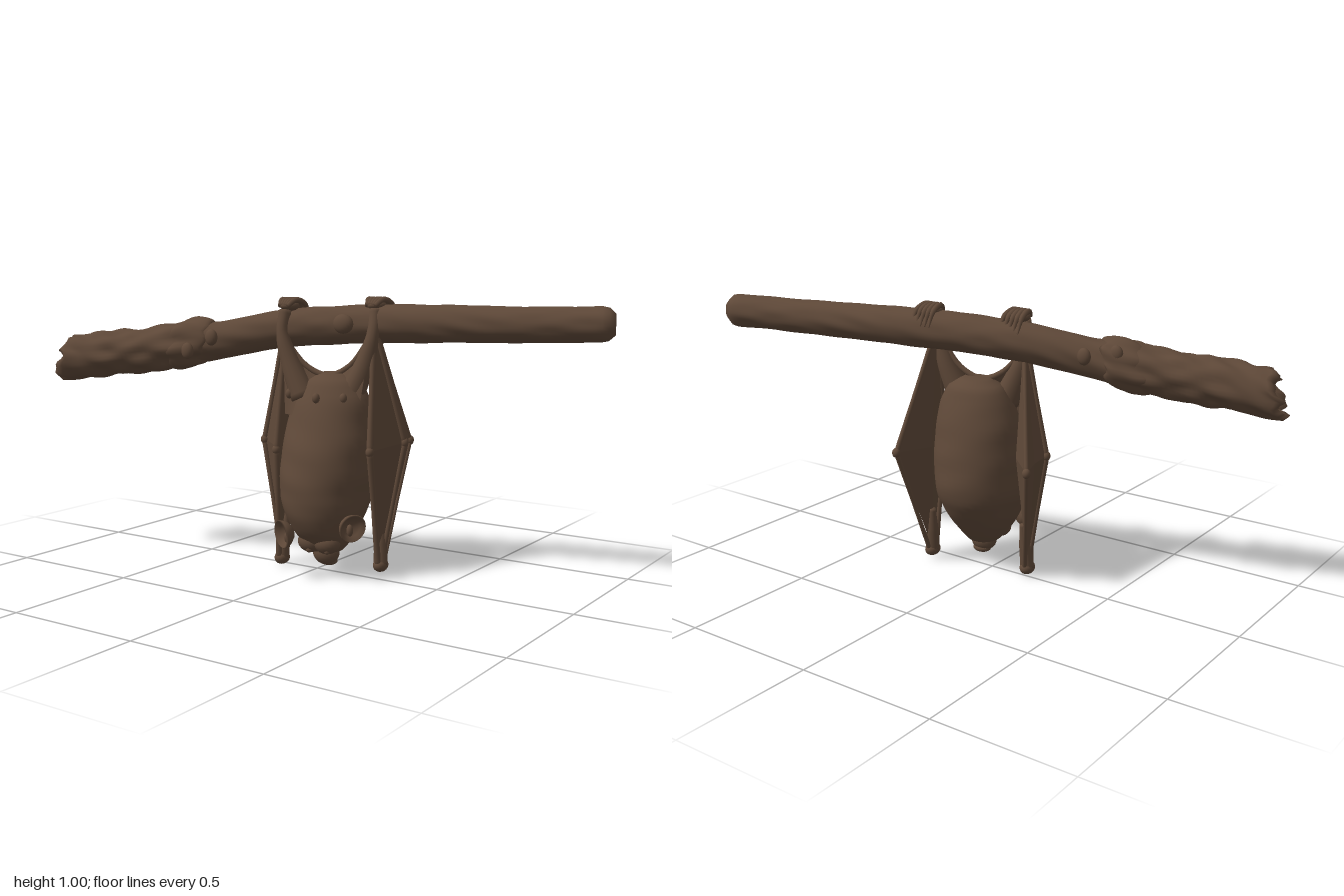
import * as THREE from 'three';

const V = (x, y, z) => new THREE.Vector3(x, y, z);

// Smooth skin over rings of equal length, closed at both ends
function loft(rings) {
  const n = rings[0].length, pos = [], idx = [];
  rings.forEach(r => r.forEach(p => pos.push(p.x, p.y, p.z)));
  for (let i = 0; i < rings.length - 1; i++)
    for (let j = 0; j < n; j++) {
      const a = i * n + j, b = i * n + (j + 1) % n;
      idx.push(a, a + n, b, b, a + n, b + n);
    }
  [0, rings.length - 1].forEach(k => {
    const c = rings[k].reduce((s, p) => s.add(p), V(0, 0, 0)).divideScalar(n), ci = pos.length / 3;
    pos.push(c.x, c.y, c.z);
    for (let j = 0; j < n; j++) {
      const a = k * n + j, b = k * n + (j + 1) % n;
      if (k) idx.push(a, ci, b); else idx.push(a, b, ci);
    }
  });
  const g = new THREE.BufferGeometry();
  g.setAttribute('position', new THREE.Float32BufferAttribute(pos, 3));
  g.setIndex(idx);
  g.computeVertexNormals();
  return g;
}

// Round limb through points, with a radius at each point
function limb(pts, radii, steps = 20, sides = 12) {
  const c = new THREE.CatmullRomCurve3(pts), f = c.computeFrenetFrames(steps);
  const rings = [];
  for (let i = 0; i <= steps; i++) {
    const t = i / steps, k = t * (radii.length - 1), a = Math.min(Math.floor(k), radii.length - 2);
    const r = THREE.MathUtils.lerp(radii[a], radii[a + 1], k - a), p = c.getPoint(t);
    rings.push(Array.from({ length: sides }, (_, j) => {
      const w = j / sides * Math.PI * 2;
      return p.clone().addScaledVector(f.normals[i], r * Math.cos(w)).addScaledVector(f.binormals[i], r * Math.sin(w));
    }));
  }
  return loft(rings);
}

// Layered waves that give bark its roughness
const rough = (s, w) => 0.5 * Math.sin(s * 31 + 3 * Math.sin(w * 2)) * Math.sin(w * 3 + s * 7)
  + 0.3 * Math.sin(w * 7 + 4 * Math.sin(s * 17)) + 0.3 * Math.sin(s * 83 + w * 5);

export function createModel() {
  const model = new THREE.Group();
  const brown = new THREE.MeshStandardMaterial({ color: 0x5e4838, side: THREE.DoubleSide });
  const add = (name, geo, parent = model) => {
    const m = new THREE.Mesh(geo, brown);
    m.name = name;
    parent.add(m);
    return m;
  };
  const ball = (name, p, s, parent) => {
    const m = add(name, new THREE.SphereGeometry(1, 20, 14), parent);
    m.position.copy(p);
    m.scale.set(...s);
    return m;
  };

  // Branch: smooth at one end, barky and broken at the other
  const path = new THREE.CatmullRomCurve3([V(-0.96, 0.755, 0.30), V(-0.7, 0.785, 0.215), V(-0.4, 0.83, 0.1),
    V(-0.1, 0.885, -0.02), V(0.25, 0.905, -0.125), V(0.6, 0.91, -0.215), V(0.985, 0.917, -0.325)]);
  const across = V(0.34, 0, 0.94), along = V(0.93, 0.1, -0.34);
  const branchRing = (t, r, bump, jag = 0) => Array.from({ length: 40 }, (_, j) => {
    const w = j / 40 * Math.PI * 2, q = r + bump * rough(t, w);
    return path.getPoint(t).addScaledVector(across, q * Math.cos(w))
      .add(V(0, q * Math.sin(w), 0))
      .addScaledVector(along, jag * (0.7 * Math.sin(w) + 0.35 * Math.sin(w * 5 + 1) + 0.25 * Math.sin(w * 9)));
  });
  const rings = [branchRing(0.07, 0.03, 0.004), branchRing(0.02, 0.05, 0.008, 0.02), branchRing(0, 0.066, 0.01, 0.032)];
  for (let i = 1; i <= 110; i++) {
    const t = i / 110, old = 1 - THREE.MathUtils.smoothstep(t, 0.27, 0.36);
    const end = Math.min(1, Math.sqrt(Math.max(0, 1 - t) / 0.018 + 0.35));
    rings.push(branchRing(t, (0.069 + 0.014 * old - 0.009 * THREE.MathUtils.smoothstep(t, 0.6, 1)) * end,
      0.0025 + 0.008 * old, i < 8 ? 0.032 * (1 - i / 8) : 0));
  }
  add('branch', loft(rings));

  // Peeling bark collar
  const collar = [];
  for (let i = 0; i <= 16; i++) {
    const t = 0.25 + i / 16 * 0.08;
    collar.push(branchRing(t, 0.068 + 0.021 * Math.sin(i / 16 * Math.PI) ** 0.5, 0.013, 0.02));
  }
  add('barkCollar', loft(collar));
  [[-0.43, 0.8, 0.21], [-0.35, 0.85, 0.17], [-0.47, 0.87, 0.06], [-0.38, 0.86, 0.0]].forEach(p =>
    ball('barkFlake', V(...p), [0.025, 0.03, 0.018]));
  ball('branchKnot', V(0.1, 0.905, -0.015), [0.04, 0.035, 0.025]);

  // Body: rows of height, centre x, centre z, half width, half depth
  const rows = [[0.73, 0.055, -0.02, 0.05, 0.04], [0.7, 0.055, -0.02, 0.105, 0.085], [0.64, 0.055, -0.015, 0.142, 0.115],
    [0.55, 0.052, -0.01, 0.162, 0.145], [0.45, 0.052, 0, 0.17, 0.172], [0.36, 0.05, 0.005, 0.168, 0.185],
    [0.29, 0.05, 0.012, 0.16, 0.183], [0.23, 0.055, 0.025, 0.142, 0.16], [0.17, 0.06, 0.035, 0.115, 0.125],
    [0.125, 0.063, 0.035, 0.088, 0.085], [0.095, 0.066, 0.035, 0.06, 0.055], [0.083, 0.067, 0.035, 0.03, 0.03]];
  const core = new THREE.CatmullRomCurve3(rows.map(r => V(r[0], r[1], r[2])));
  const size = new THREE.CatmullRomCurve3(rows.map(r => V(r[3], r[4], 0)));
  add('body', loft(Array.from({ length: 45 }, (_, i) => {
    const c = core.getPoint(i / 44), s = size.getPoint(i / 44);
    return Array.from({ length: 36 }, (_, j) => {
      const w = j / 36 * Math.PI * 2, k = 1 + 0.012 * Math.sin(c.x * 50 + 2 * Math.cos(w)) * Math.sin(w * 2 + 1);
      return V(c.y + s.x * k * Math.cos(w), c.x, c.z + s.y * k * Math.sin(w));
    });
  })));

  // Face: muzzle, nose, brow and eyes
  const head = new THREE.Group();
  head.name = 'head';
  model.add(head);
  ball('muzzle', V(0.07, 0.085, 0.045), [0.05, 0.045, 0.045], head);
  ball('nose', V(0.072, 0.053, 0.035), [0.036, 0.018, 0.03], head);
  ball('cheek', V(0.1, 0.13, 0.085), [0.05, 0.04, 0.045], head);
  ball('cheek', V(0.035, 0.13, 0.09), [0.05, 0.04, 0.045], head);
  [[0.045, 0.105, 0.118], [0.115, 0.105, 0.108]].forEach(p => ball('eye', V(...p), [0.011, 0.011, 0.011], head));

  // Cupped ears
  const cup = [[0.001, -0.022], [0.026, -0.02], [0.043, -0.004], [0.052, 0.018], [0.048, 0.023],
    [0.036, 0.006], [0.02, -0.006], [0.001, -0.009]].map(p => new THREE.Vector2(...p));
  [[V(0.195, 0.2, 0.08), V(0.85, -0.15, 0.5)], [V(-0.022, 0.165, 0.165), V(-0.45, -0.1, 0.85)]].forEach(([p, d]) => {
    const ear = add('ear', new THREE.LatheGeometry(cup, 28), head);
    ear.position.copy(p);
    ear.quaternion.setFromUnitVectors(V(0, 1, 0), d.normalize());
    const lobe = ball('earLobe', p.clone().addScaledVector(d, -0.005), [0.012, 0.022, 0.012], head);
    lobe.position.y -= 0.015;
  });

  // Folded wings: top, three wrists, inner point, tip
  const wings = [
    { name: 'leftWing', top: V(0.2, 0.91, -0.06), tip: V(0.236, 0.04, -0.06),
      wrists: [V(0.245, 0.465, 0.035), V(0.285, 0.48, -0.137), V(0.24, 0.47, -0.255)], inner: V(0.2, 0.46, -0.1) },
    { name: 'rightWing', top: V(-0.13, 0.91, 0.01), tip: V(-0.145, 0.03, 0.02),
      wrists: [V(-0.13, 0.445, 0.075), V(-0.215, 0.47, 0.03), V(-0.252, 0.46, -0.15)], inner: V(-0.125, 0.46, -0.03) }];
  wings.forEach(({ name, top, tip, wrists, inner }) => {
    const wing = new THREE.Group();
    wing.name = name;
    model.add(wing);
    const ring = [...wrists, inner], pts = [];
    ring.forEach((p, i) => {
      const q = ring[(i + 1) % ring.length];
      const mid = p.clone().lerp(q, 0.5).lerp(inner, 0.1);
      [[p, mid], [mid, q]].forEach(([a, b]) => pts.push(top, a, b, tip, b, a));
    });
    const skin = new THREE.BufferGeometry().setFromPoints(pts);
    skin.computeVertexNormals();
    add('wingMembrane', skin, wing);
    wrists.forEach((w, i) => {
      const end = tip.clone().add(V(0, 0, [0.018, 0, -0.018][i]));
      const r = [0.012, 0.011, 0.009][i];
      add('upperBone', limb([top, top.clone().lerp(w, 0.5), w], [r, r * 0.8, r]), wing);
      add('fingerBone', limb([w, w.clone().lerp(end, 0.5), end], [r, r * 0.8, r]), wing);
      ball('wrist', w, [0.015, 0.018, 0.015], wing);
    });
    ball('wingTip', tip.clone().add(V(0, -0.002, 0)), [0.026, 0.025, 0.034], wing);
    add('wingTipBone', limb([tip, tip.clone().lerp(inner, 0.2), tip.clone().lerp(inner, 0.4)], [0.026, 0.022, 0.012]), wing);
  });

  // Legs and gripping feet
  const legs = [
    { name: 'leftLeg', pts: [V(0.13, 0.64, -0.01), V(0.18, 0.77, -0.035), V(0.205, 0.87, -0.045), V(0.195, 0.955, -0.075)], foot: V(0.185, 0.97, -0.1) },
    { name: 'rightLeg', pts: [V(-0.03, 0.64, 0.04), V(-0.085, 0.77, 0.05), V(-0.115, 0.87, 0.055), V(-0.115, 0.95, 0.035)], foot: V(-0.115, 0.965, 0.01) }];
  legs.forEach(({ name, pts, foot }) => {
    const leg = new THREE.Group();
    leg.name = name;
    model.add(leg);
    add('shin', limb(pts, [0.05, 0.034, 0.022, 0.022]), leg);
    ball('foot', foot, [0.034, 0.02, 0.04], leg);
    for (let i = -2; i <= 2; i++) {
      const at = (s, y, z) => foot.clone().add(V(i * s, y, z));
      add('toe', limb([at(0.008, 0, 0.035), at(0.014, 0.02, 0.005), at(0.018, 0.006, -0.045), at(0.019, -0.045, -0.075)],
        [0.009, 0.011, 0.01, 0.003], 14, 8), leg);
    }
  });

  // Tail membrane slung between the legs
  const hem = new THREE.QuadraticBezierCurve3(V(-0.115, 0.86, 0.05), V(0.055, 0.575, 0.0), V(0.2, 0.87, -0.045));
  const root = new THREE.LineCurve3(V(-0.09, 0.58, 0.075), V(0.19, 0.58, 0.03));
  const sheet = new THREE.PlaneGeometry(1, 1, 24, 8), sp = sheet.attributes.position;
  for (let i = 0; i < sp.count; i++) {
    const u = sp.getX(i) + 0.5, v = sp.getY(i) + 0.5;
    const p = root.getPoint(u).lerp(hem.getPoint(u), v);
    sp.setXYZ(i, p.x, p.y, p.z + 0.05 * Math.sin(u * Math.PI) * (1 - v));
  }
  sheet.computeVertexNormals();
  add('tailMembrane', sheet);
  add('tailHem', limb([0, 0.25, 0.5, 0.75, 1].map(t => hem.getPoint(t)), [0.008, 0.01, 0.012, 0.01, 0.008]));
  [[-0.07, 0.655, 0.075], [0.065, 0.65, 0.105], [0.15, 0.65, 0.06]].forEach(p =>
    ball('membraneKnob', V(...p), [0.014, 0.018, 0.014]));

  return model;
}
